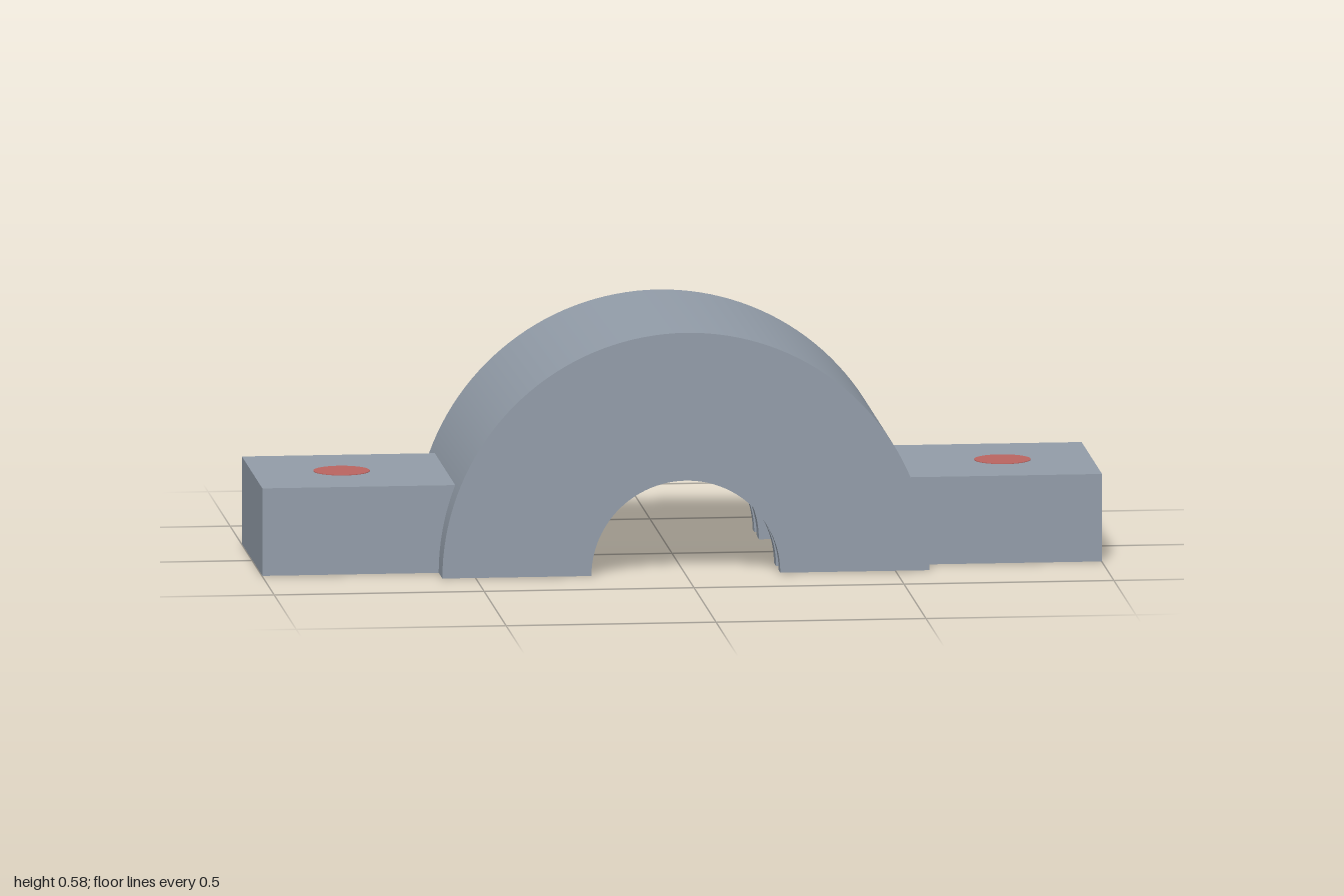
import * as THREE from 'three';
import { toCreasedNormals } from 'three/addons/utils/BufferGeometryUtils.js';

const OUTER = 0.58, BORE = 0.225, GROOVE = 0.28, SEAT = 0.36; // radii
const HALF = 0.315, FLANGE_TOP = 0.21, FLANGE_HALF = 0.232;

export function createModel() {
  const steel = new THREE.MeshStandardMaterial({ color: 0x929ca8 });
  steel.name = 'steel grey';
  const red = new THREE.MeshStandardMaterial({ color: 0xba6460 });
  red.name = 'bolt red';

  const model = new THREE.Group();
  model.name = 'bearingCap';
  const add = (name, geometry, material, parent = model) => {
    const mesh = new THREE.Mesh(geometry, material);
    mesh.name = name;
    parent.add(mesh);
    return mesh;
  };

  // Cross-section of the half ring (radius, position along the axis):
  // end lip, seal groove, inner lip and bearing seat, mirrored
  const steps = [
    [BORE, HALF], [BORE, 0.275], [GROOVE, 0.275], [GROOVE, 0.22],
    [BORE, 0.22], [BORE, 0.17], [SEAT, 0.17],
  ];
  const mirrored = steps.map(([r, a]) => [r, -a]).reverse();
  const section = [[OUTER, -HALF], [OUTER, HALF], ...steps, ...mirrored]
    .map(([r, a]) => new THREE.Vector2(r, a));

  // Half ring, swept over the top
  const ring = new THREE.LatheGeometry([...section, section[0]], 72, -Math.PI / 2, Math.PI);
  ring.rotateX(-Math.PI / 2);
  add('halfRing', toCreasedNormals(ring, Math.PI / 6), steel);

  // Flange outline, cut to fit the curve of the ring
  const angle = Math.asin(FLANGE_TOP / OUTER);
  const outline = new THREE.Shape();
  outline.moveTo(OUTER, 0);
  outline.lineTo(1, 0);
  outline.lineTo(1, FLANGE_TOP);
  outline.absarc(0, 0, OUTER, angle, 0, true);

  // Left and right sides
  for (const side of ['left', 'right']) {
    const half = new THREE.Group();
    half.name = side + 'Side';
    half.rotation.y = side === 'left' ? 0 : Math.PI;
    model.add(half);

    // Flat split face under the ring
    const face = new THREE.ShapeGeometry(new THREE.Shape(section));
    face.rotateX(Math.PI / 2);
    add('splitFace', face, steel, half);

    // Mounting flange
    const flange = new THREE.ExtrudeGeometry(outline, {
      depth: FLANGE_HALF * 2, bevelEnabled: false, curveSegments: 10,
    });
    flange.translate(0, 0, -FLANGE_HALF);
    add('flange', flange, steel, half);

    // Bolt plug, showing at the top and bottom of the flange
    const bolt = add('bolt', new THREE.CylinderGeometry(0.067, 0.067, FLANGE_TOP + 0.003, 40), red, half);
    bolt.position.set(0.787, FLANGE_TOP / 2, 0);
  }
  return model;
}
